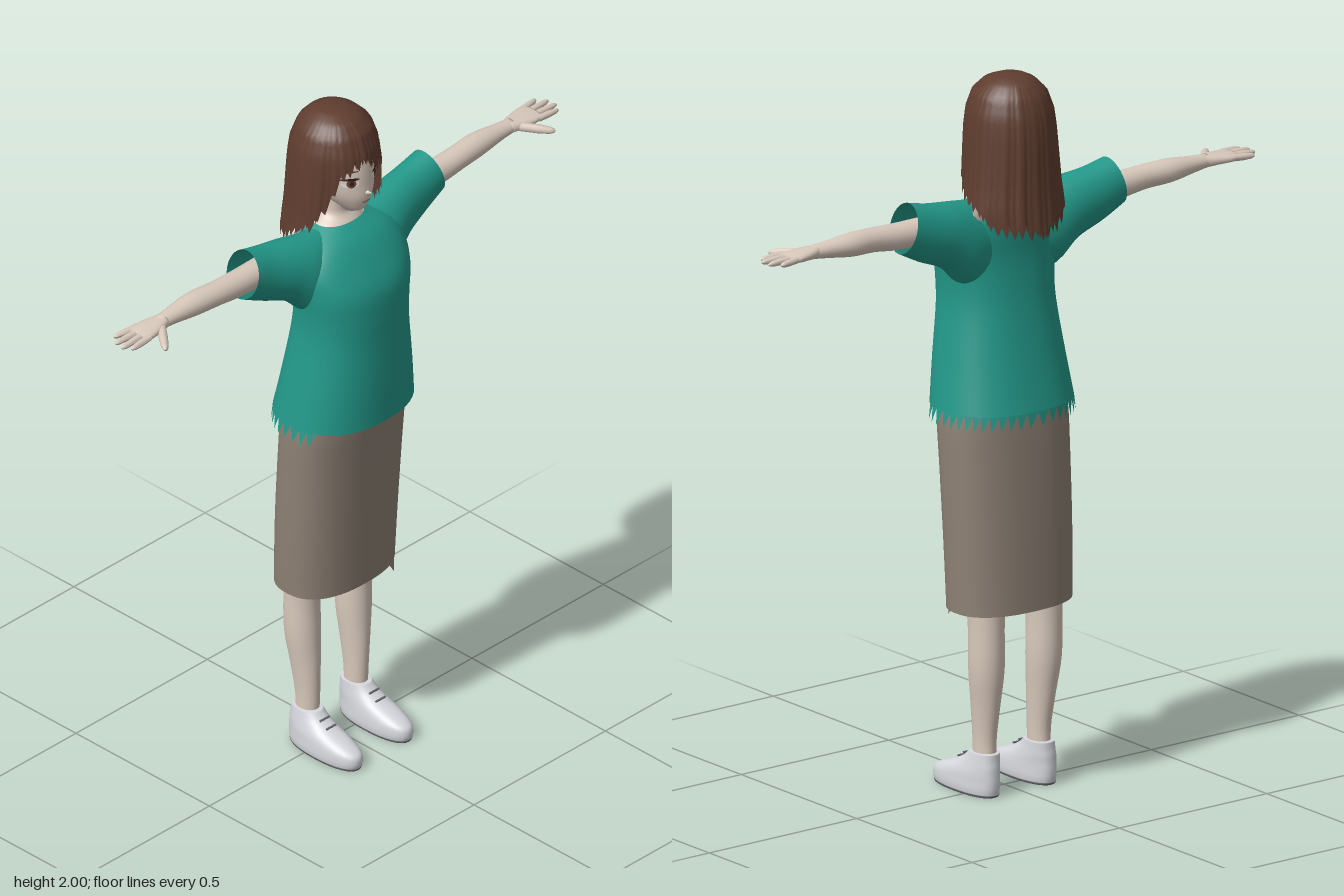
import * as THREE from 'three';

const mat = (name, color, side = THREE.FrontSide) => {
  const m = new THREE.MeshStandardMaterial({ color, side });
  m.name = name;
  return m;
};
const skin = mat('skin', 0xd9c9bc);
const teal = mat('teal cloth', 0x23998a, THREE.DoubleSide);
const taupe = mat('taupe cloth', 0x8e8175, THREE.DoubleSide);
const brown = mat('brown hair', 0x5f3d2f, THREE.DoubleSide);
const white = mat('shoe white', 0xd5d7dc);
const grey = mat('sole grey', 0x6c6c70);
const eyeWhite = mat('eye white', 0xeee6e0, THREE.DoubleSide);
const iris = mat('iris brown', 0x6a4632, THREE.DoubleSide);
const dark = mat('lash dark', 0x2c1b17, THREE.DoubleSide);
const lip = mat('lip', 0xb57a6c, THREE.DoubleSide);

// Interpolate rows of numbers keyed by their first entry
function sample(rows, s) {
  const up = rows[rows.length - 1][0] > rows[0][0];
  let i = 0;
  while (i < rows.length - 2 && (up ? s > rows[i + 1][0] : s < rows[i + 1][0])) i++;
  const f = THREE.MathUtils.clamp((s - rows[i][0]) / (rows[i + 1][0] - rows[i][0]), 0, 1);
  return rows[i].map((v, k) => v + (rows[i + 1][k] - v) * f);
}

// Catmull-Rom refinement of section rows
function refine(rows, sub = 4) {
  const out = [], at = i => rows[THREE.MathUtils.clamp(i, 0, rows.length - 1)];
  for (let i = 0; i < rows.length - 1; i++) for (let k = 0; k < sub; k++) {
    const t = k / sub, p = [-1, 0, 1, 2].map(d => at(i + d));
    out.push(p[1].map((_, c) => {
      const [a, b, d, e] = p.map(r => r[c]);
      return b + 0.5 * t * (d - a + t * (2 * a - 5 * b + 4 * d - e + t * (3 * (b - d) + e - a)));
    }));
  }
  out.push(rows[rows.length - 1]);
  return out;
}

function buffer(pos, idx) {
  const g = new THREE.BufferGeometry();
  g.setAttribute('position', new THREE.Float32BufferAttribute(pos, 3));
  g.setIndex(idx);
  g.computeVertexNormals();
  return g;
}

// Point on a section [s, centre, halfWidth, min, max] at angle a
function ringPoint([s, c, r, lo, hi], a, e, along) {
  const pw = v => Math.sign(v) * Math.abs(v) ** (2 / e);
  const u = c + r * pw(Math.cos(a)), v = (lo + hi) / 2 + (hi - lo) / 2 * pw(Math.sin(a));
  return along === 'x' ? [s, v, u] : [u, s, v];
}

// Surface through elliptical sections, along y (width x, depth z) or along x (width z, height y)
function loft(rows, { along = 'y', n = 32, e = 2, cap = true, warp } = {}) {
  const pos = [], idx = [], secs = refine(rows);
  secs.forEach(r => {
    for (let j = 0; j < n; j++) {
      const p = ringPoint(r, j / n * Math.PI * 2, e, along);
      pos.push(...(warp ? warp(p) : p));
    }
  });
  for (let i = 0; i < secs.length - 1; i++) for (let j = 0; j < n; j++) {
    const a = i * n + j, d = i * n + (j + 1) % n;
    idx.push(a, a + n, d + n, a, d + n, d);
  }
  if (cap) [0, secs.length - 1].forEach(i => {
    const r = secs[i], c = pos.length / 3, mid = (r[3] + r[4]) / 2;
    pos.push(...(along === 'x' ? [r[0], mid, r[1]] : [r[1], r[0], mid]));
    for (let j = 0; j < n; j++) {
      const a = i * n + j, b = i * n + (j + 1) % n;
      idx.push(c, ...(i ? [b, a] : [a, b]));
    }
  });
  return buffer(pos, idx);
}

function mirror(geo) {
  const g = geo.clone().scale(-1, 1, 1), ix = g.index.array;
  for (let i = 0; i < ix.length; i += 3) [ix[i], ix[i + 1]] = [ix[i + 1], ix[i]];
  g.computeVertexNormals();
  return g;
}

const HEAD = [[1.698, 0, 0.015, 0.005, 0.05], [1.715, 0, 0.028, -0.01, 0.08], [1.735, 0, 0.047, -0.05, 0.092],
  [1.765, 0, 0.07, -0.1, 0.1], [1.8, 0, 0.085, -0.12, 0.098], [1.85, 0, 0.09, -0.13, 0.093],
  [1.9, 0, 0.085, -0.12, 0.078], [1.95, 0, 0.055, -0.09, 0.03]];
const HEAD_FINE = refine(HEAD);
const faceZ = (x, y) => {
  const [, , r, lo, hi] = sample(HEAD_FINE, y);
  return (lo + hi) / 2 + (hi - lo) / 2 * Math.sqrt(Math.max(0, 1 - (x / r) ** 2));
};
// Oval plate laid on the face
function facePatch(x, y, w, h, lift) {
  const g = new THREE.CircleGeometry(1, 20).scale(w, h, 1).translate(x, y, 0), p = g.attributes.position;
  for (let i = 0; i < p.count; i++) p.setZ(i, faceZ(p.getX(i), p.getY(i)) + lift);
  g.computeVertexNormals();
  return g;
}

// Hair shell: every column falls from the crown to its own length
const HAIR = [[2, 0, -0.03, -0.03], [1.995, 0.04, -0.07, 0.01], [1.98, 0.07, -0.1, 0.05], [1.95, 0.1, -0.127, 0.08],
  [1.9, 0.117, -0.145, 0.098], [1.85, 0.123, -0.152, 0.104], [1.8, 0.127, -0.155, 0.104],
  [1.7, 0.136, -0.158, 0.1], [1.64, 0.144, -0.163, 0.095], [1.56, 0.136, -0.17, 0.09]];
const LENGTH = [[-1, 1.575], [-0.5, 1.595], [-0.15, 1.64], [0.2, 1.665], [0.45, 1.69], [0.65, 1.75], [0.8, 1.815], [1, 1.86]];
function hairShell(scale, seed) {
  let state = seed;
  const rnd = () => (state = (state * 16807) % 2147483647) / 2147483647;
  const strands = 36, per = 5, n = strands * per, rows = 24, pos = [], idx = [];
  const vary = Array.from({ length: strands }, () => rnd());
  for (let i = 0; i <= rows; i++) for (let j = 0; j < n; j++) {
    const t = i / rows, a = j / n * Math.PI * 2, k = Math.floor(j / per), w = Math.abs((j % per) / per - 0.4);
    const front = Math.max(0, Math.sin(a));
    const end = sample(LENGTH, Math.sin(a))[1] + w * 0.06 + (vary[k] - 0.5) * 0.025 - front * 0.02 * Math.cos(a);
    const y = 2 - (2 - end) * t * t;
    const [, r, lo, hi] = sample(HAIR, y);
    const f = scale * (1 + t * (0.03 * (0.25 - w) + 0.04 * (vary[k] - 0.5)));
    pos.push(r * f * Math.cos(a), y - (1 - scale) * 0.1, (lo + hi) / 2 + (hi - lo) / 2 * f * Math.sin(a));
  }
  for (let i = 0; i < rows; i++) for (let j = 0; j < n; j++) {
    const a = i * n + j, b = i * n + (j + 1) % n;
    idx.push(a, b, b + n, a, b + n, a + n);
  }
  return buffer(pos, idx);
}

// Rod that tapers between two points, with a rounded tip
function finger(from, to, r) {
  const a = new THREE.Vector3(...from), d = new THREE.Vector3(...to).sub(a), len = d.length();
  const pts = [[r, 0], [r, len * 0.5], [r * 0.8, len * 0.85], [r * 0.45, len * 0.97], [0.0001, len]];
  const g = new THREE.LatheGeometry(pts.map(p => new THREE.Vector2(...p)), 10);
  g.applyQuaternion(new THREE.Quaternion().setFromUnitVectors(new THREE.Vector3(0, 1, 0), d.normalize()));
  return g.translate(...from);
}

export function createModel() {
  const model = new THREE.Group();
  const add = (name, geo, m) => {
    const mesh = new THREE.Mesh(geo, m);
    mesh.name = name;
    model.add(mesh);
  };
  const pair = (name, geo, m) => {
    add('left ' + name, geo, m);
    add('right ' + name, mirror(geo), m);
  };

  // Head, neck and face
  add('head', loft(HEAD), skin);
  add('neck', loft([[1.6, 0, 0.11, -0.08, 0.06], [1.645, 0, 0.07, -0.07, 0.035], [1.67, 0, 0.04, -0.065, 0.012],
    [1.7, 0, 0.035, -0.06, 0.008], [1.76, 0, 0.035, -0.06, 0.01]]), skin);
  add('nose', new THREE.ConeGeometry(0.011, 0.034, 12).rotateX(1.25).translate(0, 1.779, 0.103), skin);
  pair('eye white', facePatch(0.045, 1.818, 0.02, 0.013, 0.002), eyeWhite);
  pair('iris', facePatch(0.044, 1.818, 0.011, 0.013, 0.003), iris);
  pair('pupil', facePatch(0.044, 1.818, 0.005, 0.007, 0.004), dark);
  pair('eyelash', facePatch(0.046, 1.831, 0.022, 0.004, 0.004), dark);
  pair('eyebrow', facePatch(0.046, 1.853, 0.022, 0.0025, 0.003), brown);
  add('mouth', facePatch(0, 1.751, 0.016, 0.004, 0.002), lip);
  add('hair', hairShell(1, 77), brown);
  add('inner hair', hairShell(0.9, 4242), brown);

  // Shirt with a jagged hem round the sides and back
  const shirt = [[1.08, 0, 0.2, -0.15, 0.17], [1.2, 0, 0.184, -0.125, 0.172], [1.34, 0, 0.166, -0.1, 0.17],
    [1.42, 0, 0.166, -0.09, 0.17], [1.5, 0, 0.176, -0.085, 0.163], [1.57, 0, 0.18, -0.088, 0.128],
    [1.625, 0, 0.15, -0.088, 0.09], [1.662, 0, 0.08, -0.075, 0.045]];
  add('shirt', loft(shirt, { n: 48, e: 2.3, cap: false }), teal);
  const hem = [], teeth = 44;
  for (let i = 0; i < teeth; i++) {
    const [a, b, c] = [0, 1, 0.7].map(d => ringPoint(shirt[0], (i + d) / teeth * Math.PI * 2, 2.3));
    if (c[2] > 0.085) continue;
    hem.push(...a, ...b, c[0] * 1.03, 1.038, c[2] * 1.02);
  }
  add('shirt hem points', buffer(hem, hem.slice(0, hem.length / 3).map((_, i) => i)), teal);
  pair('sleeve', loft([[0.08, 0, 0.07, 1.42, 1.655], [0.14, 0, 0.08, 1.43, 1.66], [0.2, -0.008, 0.072, 1.487, 1.669],
    [0.28, -0.016, 0.062, 1.523, 1.68], [0.355, -0.018, 0.058, 1.56, 1.695]], {
    along: 'x', cap: false,
    warp: ([x, y, z]) => [x - (y - 1.625) * 0.27 * Math.max(0, x - 0.08) / 0.275, y, z],
  }), teal);

  // Skirt with a small hanging corner at the front hem
  add('skirt', loft([[0.52, 0.002, 0.183, -0.143, 0.092], [0.7, 0, 0.188, -0.135, 0.102], [0.9, 0, 0.192, -0.122, 0.114],
    [1.06, 0, 0.193, -0.108, 0.125], [1.15, 0, 0.175, -0.095, 0.125]], { n: 48, e: 2.4, cap: false }), taupe);
  add('skirt corner', buffer([0.105, 0.525, 0.076, 0.15, 0.525, 0.052, 0.133, 0.485, 0.07], [0, 2, 1]), taupe);

  // Arms and hands
  pair('arm', loft([[0.12, -0.02, 0.042, 1.565, 1.65], [0.36, -0.018, 0.037, 1.572, 1.647], [0.46, -0.018, 0.035, 1.583, 1.65],
    [0.54, -0.023, 0.035, 1.587, 1.652], [0.62, -0.022, 0.026, 1.598, 1.644], [0.67, -0.02, 0.023, 1.604, 1.64]],
  { along: 'x', n: 20 }), skin);
  pair('palm', loft([[0.655, -0.02, 0.022, 1.604, 1.64], [0.69, -0.02, 0.032, 1.607, 1.638], [0.73, -0.021, 0.039, 1.609, 1.635],
    [0.755, -0.021, 0.036, 1.613, 1.632]], { along: 'x', n: 20, e: 2.4 }), skin);
  [[0.011, 0.812, 0.016], [-0.01, 0.828, -0.006], [-0.031, 0.825, -0.034], [-0.05, 0.803, -0.06]].forEach(([z, x, tip], i) =>
    pair('finger ' + (i + 1), finger([0.74, 1.622, z], [x, 1.62, tip], 0.0095), skin));
  pair('thumb', finger([0.682, 1.62, 0], [0.742, 1.612, 0.075], 0.0125), skin);

  // Legs
  pair('leg', loft([[0.07, 0.093, 0.029, -0.072, 0], [0.15, 0.092, 0.029, -0.07, 0.004], [0.25, 0.094, 0.036, -0.085, 0.006],
    [0.36, 0.097, 0.047, -0.1, 0.005], [0.5, 0.098, 0.049, -0.1, 0.006], [0.7, 0.095, 0.065, -0.1, 0.04],
    [0.95, 0.09, 0.08, -0.09, 0.06]]), skin);

  // Shoes
  pair('shoe', loft([[0.005, 0.096, 0.046, -0.083, 0.162], [0.02, 0.096, 0.048, -0.086, 0.166], [0.042, 0.096, 0.047, -0.087, 0.16],
    [0.06, 0.096, 0.045, -0.086, 0.125], [0.08, 0.095, 0.041, -0.085, 0.07], [0.1, 0.094, 0.037, -0.082, 0.033],
    [0.12, 0.093, 0.034, -0.08, 0.012]], { e: 2.3 }), white);
  pair('sole', loft([[0, 0.096, 0.045, -0.082, 0.162], [0.006, 0.096, 0.047, -0.085, 0.164]], { e: 2.3 }), grey);
  [[0.088, 0.057], [0.103, 0.033]].forEach(([y, z], i) =>
    pair('lace ' + (i + 1), new THREE.CylinderGeometry(0.003, 0.003, 0.036, 8).rotateZ(Math.PI / 2).translate(0.094, y, z), grey));
  return model;
}
